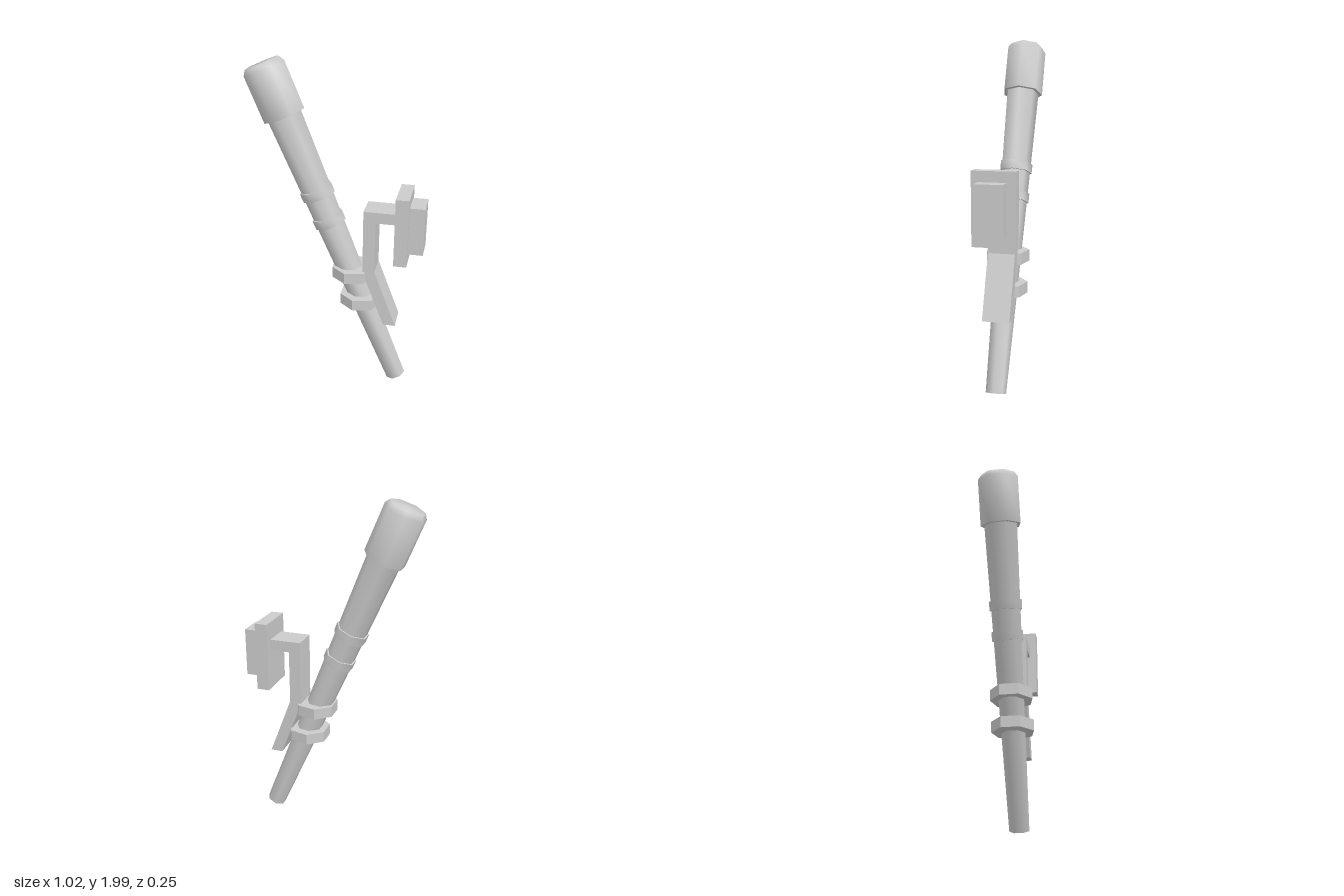
import * as THREE from 'three';
import { toCreasedNormals } from 'three/addons/utils/BufferGeometryUtils.js';

const SIDES = 7;

export function createModel() {
  const model = new THREE.Group();
  const material = new THREE.MeshStandardMaterial({ color: 0xcccccc });

  const add = (parent, name, geometry, x = 0, y = 0, z = 0) => {
    const mesh = new THREE.Mesh(geometry, material);
    mesh.name = name;
    mesh.position.set(x, y, z);
    parent.add(mesh);
    return mesh;
  };

  // Seven-sided turned part: one corner points to +x, sides smooth, ledges sharp
  const turned = (profile) => toCreasedNormals(
    new THREE.LatheGeometry(profile.map(([r, h]) => new THREE.Vector2(r, h)), SIDES, Math.PI / 2), 1.1);

  // Leaning baton, built upright from its lower end
  const baton = new THREE.Group();
  baton.name = 'baton';
  baton.position.set(0.378, 0.026, 0);
  baton.rotation.z = 0.39;
  model.add(baton);

  const shaftRadius = (h) => 0.06 + 0.04 * h / 1.784;
  add(baton, 'shaft', turned([[0, 0], [0.06, 0], [shaftRadius(1.8), 1.8], [0, 1.8]]));
  add(baton, 'headCap', turned([[0, 1.784], [0.122, 1.784], [0.122, 2.06], [0.102, 2.09], [0, 2.09]]));

  // Slim raised collars around the shaft
  for (const [name, h] of [['lowerCollar', 1.1], ['upperCollar', 1.28]]) {
    const r = shaftRadius(h) + 0.01;
    add(baton, name, turned([[0, h], [r, h], [r + 0.001, h + 0.055], [0, h + 0.055]]));
  }

  // Level clamps holding the shaft
  for (const [name, x, y] of [['upperClamp', 0.094, 0.75], ['lowerClamp', 0.144, 0.573]]) {
    const clamp = new THREE.CylinderGeometry(0.128, 0.128, 0.066, SIDES, 1, false, Math.PI / 2);
    const flat = toCreasedNormals(clamp, 0.3);
    add(model, name, flat, x, y);
  }

  // Bent arm: foot, upright and top shelf in one strip
  const arm = new THREE.Shape([
    [0.165, 1.17], [0.165, 0.78], [0.297, 0.435], [0.37, 0.435],
    [0.235, 0.79], [0.235, 1.105], [0.355, 1.105], [0.355, 1.17],
  ].map(([x, y]) => new THREE.Vector2(x, y)));
  add(model, 'bracketArm', new THREE.ExtrudeGeometry(arm, { depth: 0.156, bevelEnabled: false }), 0, 0, -0.078);

  // Mounting plate and outer pad
  add(model, 'mountPlate', new THREE.BoxGeometry(0.075, 0.41, 0.242), 0.387, 1.07, -0.004);
  add(model, 'mountPad', new THREE.BoxGeometry(0.09, 0.285, 0.156), 0.466, 1.073, 0);

  return model;
}
